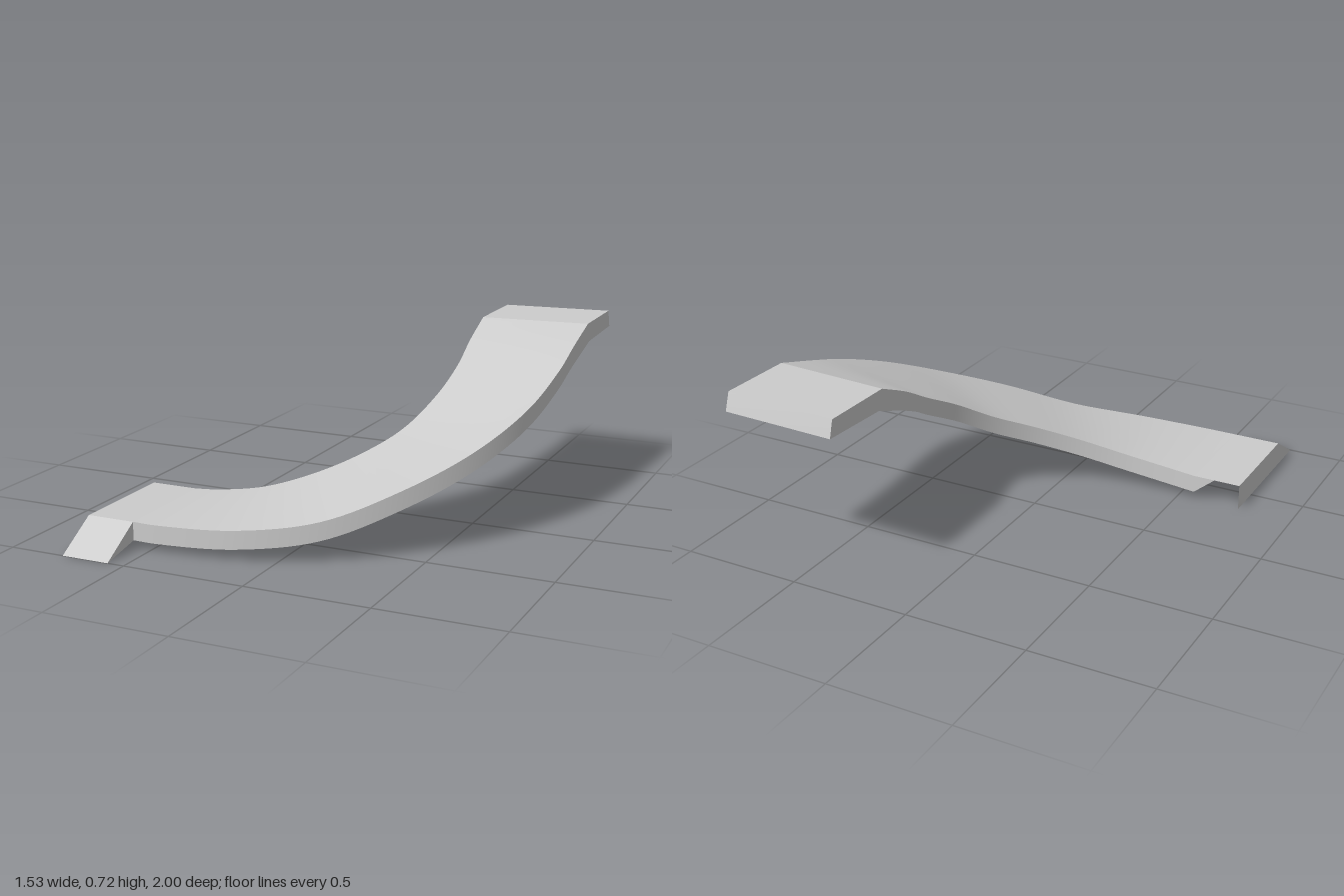
import * as THREE from 'three';

const V = (x, y, z) => new THREE.Vector3(x, y, z);
const material = new THREE.MeshStandardMaterial({ color: 0xcccccc, side: THREE.DoubleSide });

// Smooth surface ruled between two rows of points; faces (b - a) x (along the row)
function strip(name, a, b) {
  const pos = [], idx = [];
  a.forEach((p, i) => {
    pos.push(...p.toArray(), ...b[i].toArray());
    if (i) {
      const k = 2 * i;
      idx.push(k - 2, k - 1, k, k - 1, k + 1, k);
    }
  });
  const g = new THREE.BufferGeometry();
  g.setAttribute('position', new THREE.Float32BufferAttribute(pos, 3));
  g.setIndex(idx);
  g.computeVertexNormals();
  const mesh = new THREE.Mesh(g, material);
  mesh.name = name;
  return mesh;
}

// Flat convex panel, corners counter-clockwise from its front
function panel(name, ...pts) {
  const g = new THREE.BufferGeometry().setFromPoints(pts);
  const idx = [];
  for (let i = 1; i < pts.length - 1; i++) idx.push(0, i, i + 1);
  g.setIndex(idx);
  g.computeVertexNormals();
  const mesh = new THREE.Mesh(g, material);
  mesh.name = name;
  return mesh;
}

// Edge of the bend: quarter ellipse with a rising height, straight at both ends
function rail(cz, rx, rz, heights, start, ...finish) {
  const pts = heights.map((y, i) => {
    const t = i * Math.PI / 12;
    return V(-0.46 + rx * Math.sin(t), y, cz + rz * Math.cos(t));
  });
  return new THREE.CatmullRomCurve3([start, ...pts, ...finish]).getPoints(72);
}

// Copy of an edge on the underside
function lower(row) {
  return row.map((p, i) => {
    const end = Math.max(0, (i - 60) / (row.length - 61));
    return V(p.x, p.y - 0.074 - 0.006 * end, p.z - 0.03 * end);
  });
}

// Four long faces of a slab given by its edge rows
function slab(name, inT, outT, inB, outB) {
  const g = new THREE.Group();
  g.name = name;
  g.add(
    strip(name + 'Top', inT, outT),
    strip(name + 'Underside', outB, inB),
    strip(name + 'OuterWall', outT, outB),
    strip(name + 'InnerWall', inB, inT)
  );
  return g;
}

export function createModel() {
  const model = new THREE.Group();
  model.name = 'curvedRamp';

  // Rising bend
  const inT = rail(-0.35, 0.75, 0.70, [0.117, 0.148, 0.205, 0.275, 0.355, 0.46, 0.555],
    V(-0.57, 0.107, 0.35), V(0.29, 0.638, -0.5), V(0.29, 0.71, -0.66));
  const outT = rail(-0.25, 1.22, 1.07, [0.107, 0.12, 0.162, 0.265, 0.375, 0.49, 0.595],
    V(-0.57, 0.107, 0.82), V(0.76, 0.66, -0.45), V(0.76, 0.72, -0.65));
  const inB = lower(inT), outB = lower(outT);
  model.add(slab('bend', inT, outT, inB, outB));

  // Level landing with a slanted end
  const last = inT.length - 1;
  const iT = V(0.29, 0.712, -0.98), oT = V(0.76, 0.722, -0.97);
  const iB = V(0.29, 0.642, -1), oB = V(0.76, 0.65, -0.995);
  model.add(slab('landing', [inT[last], iT], [outT[last], oT], [inB[last], iB], [outB[last], oB]));
  model.add(panel('landingEnd', iT, oT, oB, iB));

  // Hollow foot, open below and behind
  const L = -0.77, R = -0.57, h = 0.107, back = 0.35, front = 0.82;
  const foot = new THREE.Group();
  foot.name = 'foot';
  foot.add(
    panel('footTop', V(L, h, back), V(L, h, front), V(R, h, front), V(R, h, back)),
    panel('footSlope', V(L, h, front), V(L, 0, 1), V(R, 0, 1), V(R, h, front)),
    panel('footSide', V(L, 0, back), V(L, 0, 1), V(L, h, front), V(L, h, back)),
    panel('footCheek', V(R, h, front), V(R, 0.033, front), V(R, 0, 1)),
    panel('footGusset', V(R, 0.033, back), V(-0.66, h, back), V(R, h, back))
  );
  model.add(foot);
  return model;
}
